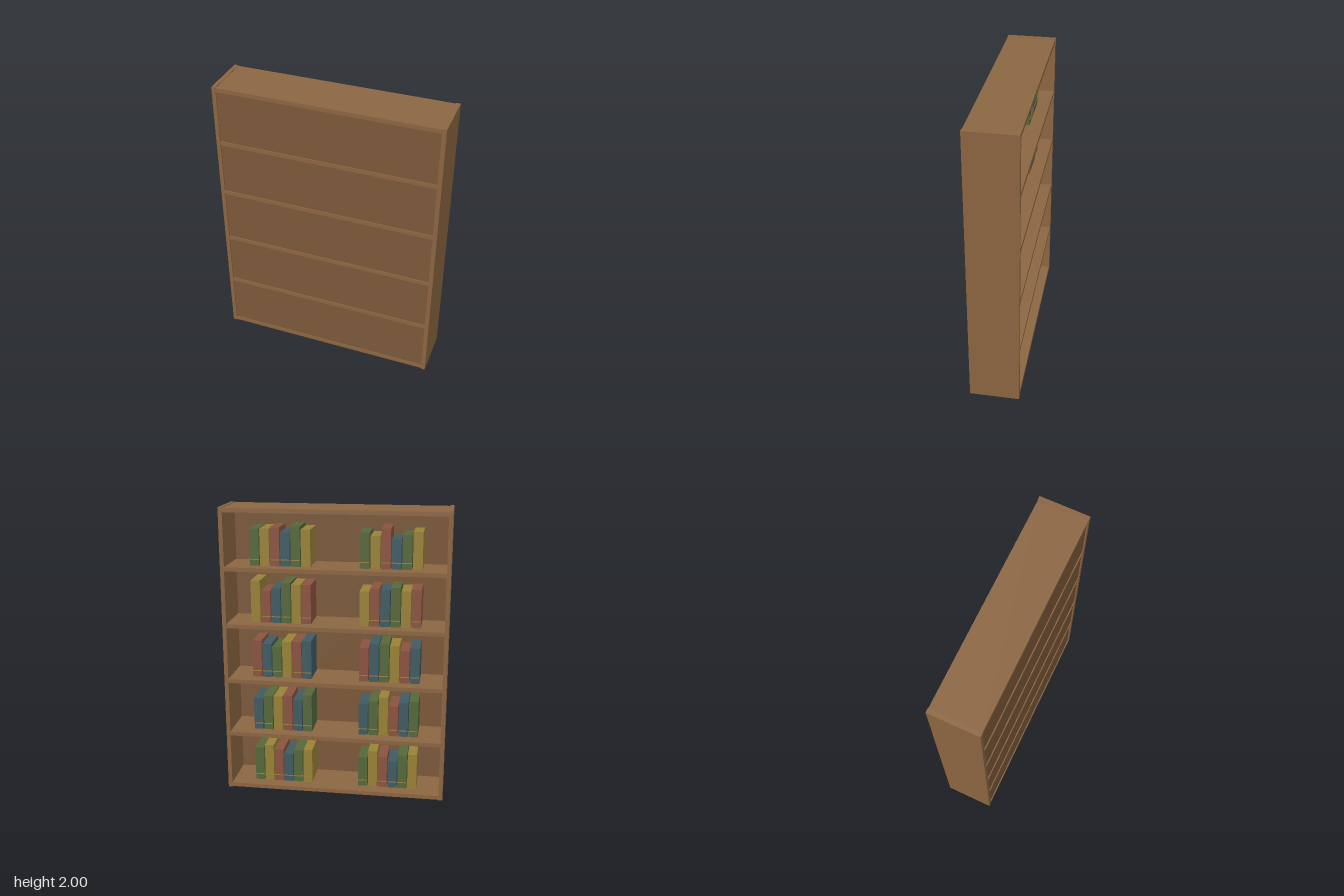
import * as THREE from 'three';

const W = 1.53, H = 2, D = 0.34, T = 0.028;

const mat = (color) => new THREE.MeshStandardMaterial({ color });
const wood = mat(0x8b6541);
const panelWood = mat(0x7a5838);
const gold = mat(0x9a8040);
// green, yellow, red, teal
const covers = [0x55683a, 0x998136, 0x8b5340, 0x3f5b63].map(mat);

// Box given by its centre in x and z and its underside in y
function box(name, material, w, h, d, x, y, z) {
  const mesh = new THREE.Mesh(new THREE.BoxGeometry(w, h, d), material);
  mesh.name = name;
  mesh.position.set(x, y + h / 2, z);
  return mesh;
}

// Book heights for each shelf, bottom to top: left stack, then right stack
const heights = [
  [[0.25, 0.27, 0.24, 0.21, 0.24, 0.25], [0.22, 0.27, 0.23, 0.20, 0.25, 0.26]],
  [[0.23, 0.25, 0.25, 0.26, 0.23, 0.27], [0.23, 0.25, 0.28, 0.22, 0.25, 0.26]],
  [[0.26, 0.24, 0.22, 0.26, 0.26, 0.27], [0.24, 0.27, 0.27, 0.26, 0.23, 0.25]],
  [[0.29, 0.22, 0.24, 0.28, 0.27, 0.27], [0.24, 0.26, 0.25, 0.27, 0.25, 0.26]],
  [[0.25, 0.25, 0.26, 0.23, 0.27, 0.25], [0.24, 0.22, 0.27, 0.20, 0.23, 0.25]],
];

function createBookStack(row, side, y) {
  const stack = new THREE.Group();
  stack.name = side === 0 ? 'leftBookStack' : 'rightBookStack';
  const startX = side === 0 ? 0.585 : -0.16;
  const pitch = 0.07, spineZ = -0.08, depth = 0.215;
  heights[row][side].forEach((h, i) => {
    const x = startX - pitch * (i + 0.5);
    const cover = covers[(i + 4 - row) % 4];
    stack.add(box('book', cover, pitch - 0.006, h, depth, x, y, spineZ + depth / 2));
    stack.add(box('spineBand', gold, pitch - 0.006, 0.006, 0.004, x, y + 0.04, spineZ));
  });
  return stack;
}

export function createModel() {
  const model = new THREE.Group();
  model.name = 'bookcase';

  // Upright sides
  for (const s of [1, -1]) {
    model.add(box(s > 0 ? 'leftSide' : 'rightSide', wood, T, H, D, s * (W - T) / 2, 0, 0));
  }

  // Closed panel, set slightly in from the edges of the boards
  const inner = W - 2 * T;
  model.add(box('panel', panelWood, inner, H - 0.02, 0.017, 0, 0.01, 0.153));

  // Bottom, shelves and top at even spacing, with books on all but the top
  const inset = 0.004;
  const step = (H - T - 2 * inset) / 5;
  for (let i = 0; i <= 5; i++) {
    const y = inset + i * step;
    const name = i === 0 ? 'bottomBoard' : i === 5 ? 'topBoard' : 'shelf';
    model.add(box(name, wood, inner, T, D - 0.004, 0, y, 0));
    if (i < 5) {
      for (const side of [0, 1]) model.add(createBookStack(i, side, y + T));
    }
  }
  return model;
}
